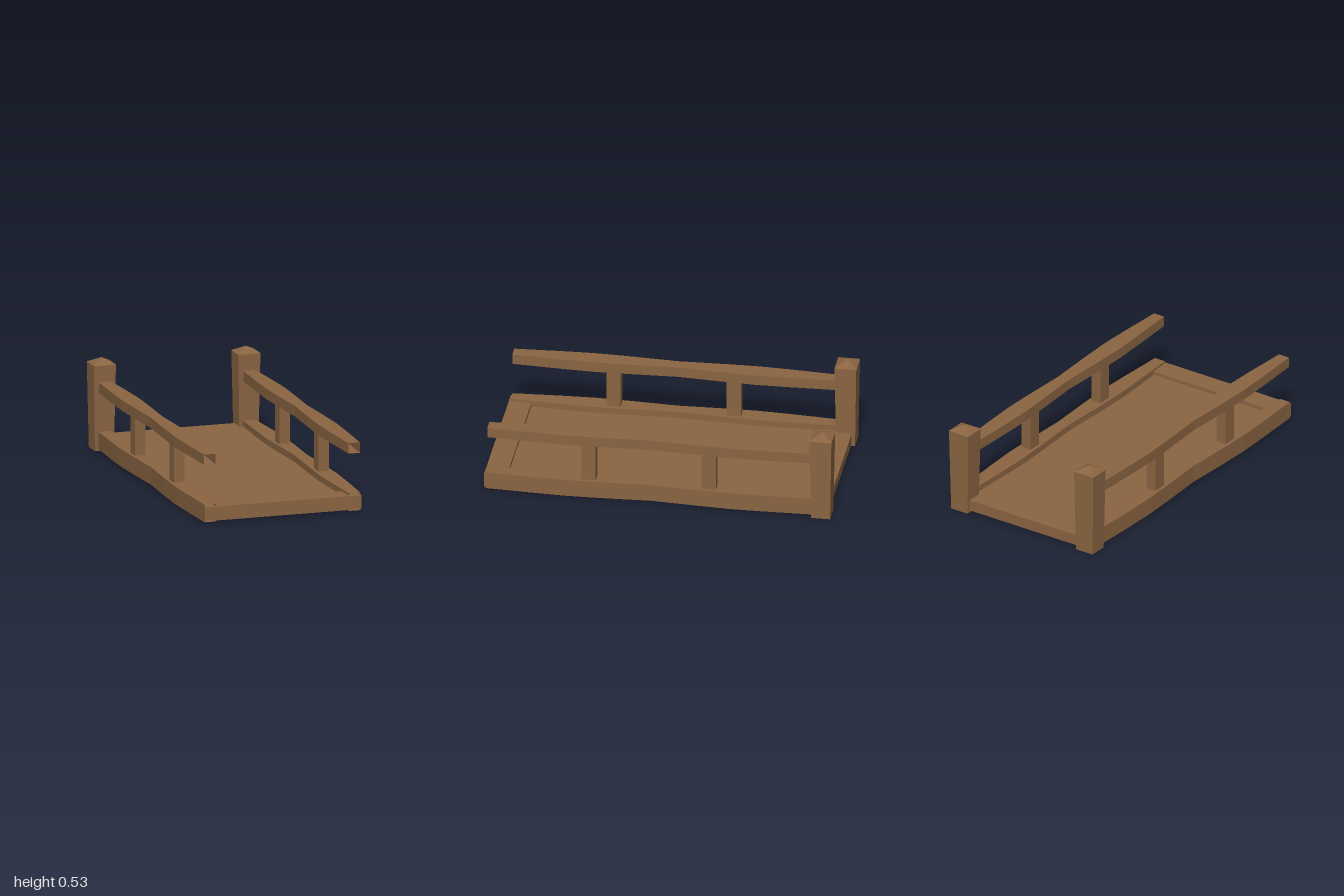
import * as THREE from 'three';

const wood = new THREE.MeshStandardMaterial({ color: 0x8b6542, flatShading: true, side: THREE.DoubleSide });
wood.name = 'brown wood';

function add(parent, name, geometry, x = 0, y = 0, z = 0) {
  const mesh = new THREE.Mesh(geometry, wood);
  mesh.name = name;
  mesh.position.set(x, y, z);
  parent.add(mesh);
  return mesh;
}

// Box given by its lower and upper limits
function block(parent, name, [x0, x1], [y0, y1], [z0, z1]) {
  return add(parent, name, new THREE.BoxGeometry(x1 - x0, y1 - y0, z1 - z0),
    (x0 + x1) / 2, (y0 + y1) / 2, (z0 + z1) / 2);
}

// Hand-hewn open-ended beam along z that swells twice; stations are [z, half width, sag]
const STATIONS = [
  [-0.90, 0.035, 0], [-0.60, 0.049, 0.002], [-0.42, 0.054, 0.003], [-0.25, 0.049, 0.004],
  [0.04, 0.036, 0.005], [0.30, 0.048, 0.004], [0.52, 0.054, 0.003], [0.70, 0.048, 0.002], [1, 0.034, 0],
];
function beam(y0, y1, zEnd, lift) {
  const pos = [], index = [];
  STATIONS.forEach(([z, w, sag], i) => {
    const zz = Math.min(z, zEnd), d = sag * lift;
    pos.push(-w, y0 + d, zz, w, y0 + d, zz, w, y1 + d, zz, -w, y1 + d, zz);
    if (i === 0) return;
    for (let k = 0; k < 4; k++) {
      const a = (i - 1) * 4 + k, b = (i - 1) * 4 + (k + 1) % 4;
      index.push(a, b, b + 4, a, b + 4, a + 4);
    }
  });
  const g = new THREE.BufferGeometry();
  g.setAttribute('position', new THREE.Float32BufferAttribute(pos, 3));
  g.setIndex(index);
  const flat = g.toNonIndexed();
  flat.computeVertexNormals();
  return flat;
}

// Four-sided tapered prism standing on y = 0
function taper(top, bottom, height, open) {
  const g = new THREE.CylinderGeometry(top * Math.SQRT2, bottom * Math.SQRT2, height, 4, 1, open);
  return g.rotateY(Math.PI / 4).translate(0, height / 2, 0);
}

export function createModel() {
  const group = new THREE.Group();
  group.name = 'footbridge';

  // Walkway and the raised board across its front end
  block(group, 'deck', [-0.41, 0.41], [0.014, 0.078], [-0.972, 0.985]);
  block(group, 'frontBoard', [-0.468, 0.468], [0.02, 0.099], [0.87, 1]);

  for (const [side, s] of [['left', 1], ['right', -1]]) {
    const railing = new THREE.Group();
    railing.name = side + 'Railing';
    railing.position.x = s * 0.432;
    group.add(railing);

    add(railing, 'curbBeam', beam(0.01, 0.112, 0.99, 1));
    add(railing, 'handRail', beam(0.341, 0.402, 0.98, 0.6));

    // Short uprights between curb and rail
    for (const z of [0.4, -0.29]) {
      block(railing, 'upright', [-0.031, 0.031], [0.1, 0.35], [z - 0.041, z + 0.041]);
    }

    // End post, wider at the top, with a pyramid cap
    add(railing, 'post', taper(0.066, 0.057, 0.498, false), 0, 0, -0.937).scale.z = 0.95;
    add(railing, 'postCap', taper(0, 0.067, 0.034, true), 0, 0.498, -0.937).scale.z = 0.94;
  }
  return group;
}
